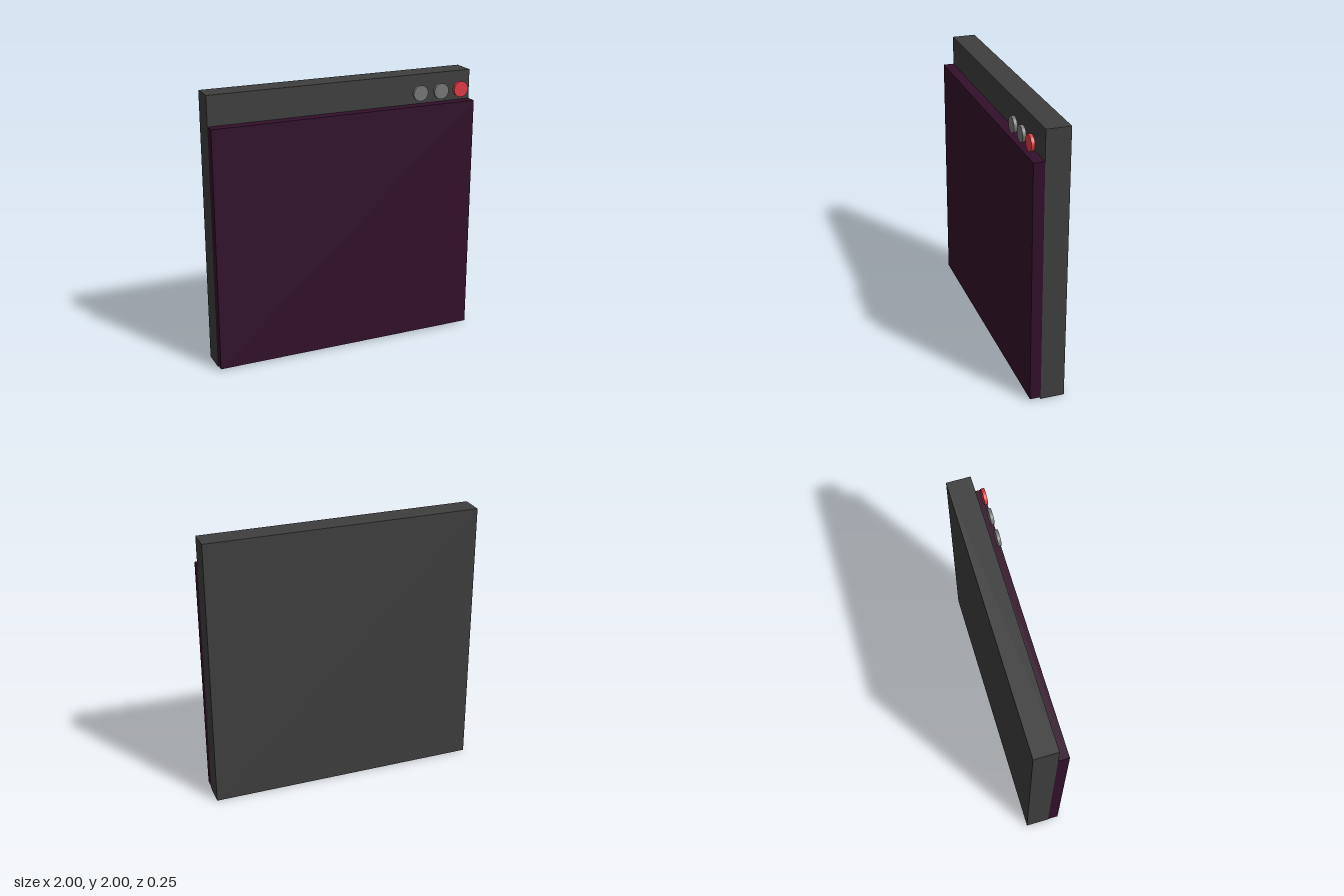
import * as THREE from 'three';

const material = (color) => new THREE.MeshStandardMaterial({ color });

function addPart(group, name, geometry, color, x, y, z) {
  const mesh = new THREE.Mesh(geometry, material(color));
  mesh.name = name;
  mesh.position.set(x, y, z);
  group.add(mesh);
}

export function createModel() {
  const group = new THREE.Group();
  group.name = 'window';

  // Dark frame slab whose exposed top strip is the title bar
  addPart(group, 'frame', new THREE.BoxGeometry(2, 2, 0.172), 0x3e3e3e, 0, 1, -0.039);

  // Raised screen panel, stopping just short of the bottom edge
  addPart(group, 'screenPanel', new THREE.BoxGeometry(2, 1.77, 0.078), 0x32102a, 0, 0.9, 0.086);

  // Round buttons floating in front of the title bar
  const disc = new THREE.CylinderGeometry(0.057, 0.057, 0.024, 32).rotateX(Math.PI / 2);
  const buttons = [
    ['minimizeButton', 0.567, 0x777777],
    ['maximizeButton', 0.733, 0x777777],
    ['closeButton', 0.893, 0xdf3a46],
  ];
  for (const [name, x, color] of buttons) addPart(group, name, disc, color, x, 1.877, 0.108);

  return group;
}
